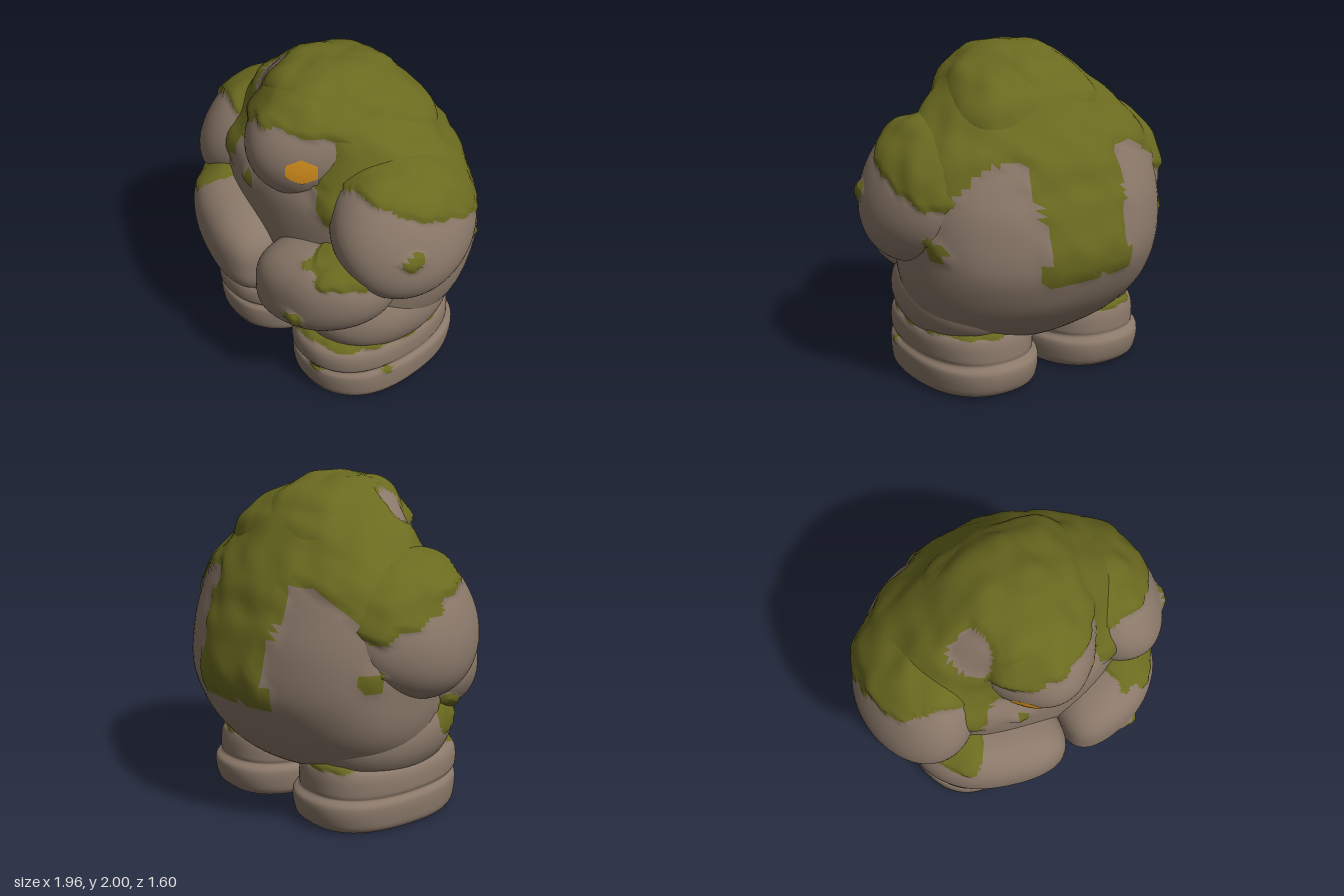
import * as THREE from 'three';
import { mergeVertices } from 'three/addons/utils/BufferGeometryUtils.js';

const { clamp } = THREE.MathUtils;
const { abs, sin, sign, pow, hypot, acos, sqrt, max, min, PI } = Math;

const stone = new THREE.MeshStandardMaterial({ name: 'stone', color: 0x8a7869 });
const moss = new THREE.MeshStandardMaterial({ name: 'moss', color: 0x6b6a20 });
const amber = new THREE.MeshStandardMaterial({ name: 'amber', color: 0xde961f });

// Smooth lumpy noise, roughly -1 to 1
const lumps = (p, f) =>
  (sin(f * p.x + 1.3 * sin(f * p.y + 2)) + sin(f * 1.1 * p.y + 1.4 * sin(f * 0.9 * p.z)) +
   sin(f * 0.95 * p.z + 1.2 * sin(f * 1.2 * p.x + 4))) / 3;

// Stray tufts of moss and one bald gap: x, y, z, radius
const tufts = [
  [0.95, 1.2, 0.24, 0.06], [0.46, 0.72, 0.74, 0.06], [-0.7, 0.62, 0.3, 0.13],
  [0.73, 0.18, 0.22, 0.05], [0.45, 0.2, 0.54, 0.04], [0.76, 0.96, -0.33, 0.09],
  [-0.76, 0.96, -0.36, 0.07], [-0.18, 1.26, 0.56, 0.05],
];
const bald = [-0.33, 1.8, 0.24, 0.14];
const reach = (p, [x, y, z, r]) => r - hypot(p.x - x, p.y - y, p.z - z);

// A sphere reshaped by a rule; moss grows where the second rule is positive
function blob(name, shape, mossRule, ragged = 0.06, bump = 0.012) {
  let geo = new THREE.SphereGeometry(1, 84, 60);
  geo.deleteAttribute('uv');
  geo.deleteAttribute('normal');
  geo = mergeVertices(geo, 1e-4);
  const pos = geo.attributes.position, p = new THREE.Vector3(), n = new THREE.Vector3();
  for (let i = 0; i < pos.count; i++) {
    p.copy(shape(p.fromBufferAttribute(pos, i)));
    pos.setXYZ(i, p.x, p.y, p.z);
  }
  geo.computeVertexNormals();
  const growth = [];
  for (let i = 0; i < pos.count; i++) {
    p.fromBufferAttribute(pos, i);
    n.fromBufferAttribute(geo.attributes.normal, i);
    let m = mossRule(p) + ragged * (0.8 * lumps(p, 11) + 0.6 * lumps(p, 31));
    for (const t of tufts) m = max(m, reach(p, t) + 0.03 * lumps(p, 30));
    m = min(m, 0.04 * lumps(p, 25) - reach(p, bald));
    growth.push(m);
    const lift = bump * lumps(p, 7) + (m > 0 ? min(m, 0.02) + 0.014 * lumps(p, 21) : 0);
    p.addScaledVector(n, lift);
    pos.setXYZ(i, p.x, max(0, p.y), p.z);
  }
  // Sort the faces into stone and moss
  const bare = [], green = [], idx = geo.index.array;
  for (let i = 0; i < idx.length; i += 3) {
    const f = [idx[i], idx[i + 1], idx[i + 2]];
    (growth[f[0]] + growth[f[1]] + growth[f[2]] > 0 ? green : bare).push(...f);
  }
  geo.setIndex([...bare, ...green]);
  geo.addGroup(0, bare.length, 0);
  geo.addGroup(bare.length, green.length, 1);
  geo.computeVertexNormals();
  const mesh = new THREE.Mesh(geo, [stone, moss]);
  mesh.name = name;
  return mesh;
}

// Shape rule: stacked rings, each row [y, half width, back z, front z]
function rings(rows, cx, e) {
  const curve = (f) => new THREE.CatmullRomCurve3(rows.map(f), false, 'catmullrom', 0.5);
  const size = curve(([y, w, b, f]) => new THREE.Vector3(w, y, (f - b) / 2));
  const mid = curve(([y, , b, f]) => new THREE.Vector3(0, y, (f + b) / 2));
  return (d) => {
    const t = clamp(acos(clamp(-d.y, -1, 1)) / PI, 0, 1), s = size.getPoint(t), c = mid.getPoint(t);
    const len = hypot(d.x, d.z) || 1, k = (v) => sign(v) * pow(abs(v / len), 2 / e);
    return new THREE.Vector3(cx + s.x * k(d.x), max(0, s.y), c.z + s.z * k(d.z));
  };
}

// Shape rule: ellipsoid, squarer where the power is below 1
const oval = (c, r, power = () => 1) => (d) => {
  const k = (v) => sign(v) * pow(abs(v), power(d));
  return new THREE.Vector3(c[0] + r[0] * k(d.x), c[1] + r[1] * k(d.y), c[2] + r[2] * k(d.z));
};

// Head ellipsoid whose sides sweep back from the middle of the face
const HEAD = { c: [0.04, 1.56, 0.1], r: [0.48, 0.4, 0.55] };
const sweep = (x) => -0.9 * (x - HEAD.c[0]) ** 2;
const faceZ = (x, y) => HEAD.c[2] + sweep(x) + HEAD.r[2] *
  sqrt(max(0, 1 - ((x - HEAD.c[0]) / HEAD.r[0]) ** 2 - ((y - HEAD.c[1]) / HEAD.r[1]) ** 2));

// Eye plate laid on the face
function eye(name, x, y, rx, ry, sides, spin) {
  const geo = new THREE.CircleGeometry(1, sides, spin);
  const pos = geo.attributes.position;
  for (let i = 0; i < pos.count; i++) {
    const px = x + rx * pos.getX(i), py = y + ry * pos.getY(i);
    pos.setXYZ(i, px, py, faceZ(px, py) + 0.008);
  }
  geo.computeVertexNormals();
  const mesh = new THREE.Mesh(geo, amber);
  mesh.name = name;
  return mesh;
}

export function createModel() {
  const model = new THREE.Group();
  model.name = 'mossyStoneCreature';

  // Hunched body, with moss over the crown and down the spine
  const bodyRows = [
    [0.22, 0, 0.05, 0.05], [0.27, 0.4, -0.3, 0.38], [0.36, 0.62, -0.48, 0.47],
    [0.5, 0.75, -0.62, 0.51], [0.65, 0.81, -0.71, 0.52], [0.85, 0.83, -0.77, 0.54],
    [1.1, 0.84, -0.74, 0.56], [1.3, 0.83, -0.66, 0.55], [1.45, 0.76, -0.59, 0.48],
    [1.6, 0.63, -0.49, 0.42], [1.75, 0.46, -0.38, 0.42], [1.87, 0.32, -0.27, 0.41],
    [1.95, 0.17, -0.09, 0.3], [1.975, 0, 0.1, 0.1],
  ];
  model.add(blob('body', rings(bodyRows, 0, 2.1), (p) => {
    const spine = min(0.3 - abs(p.x), p.y - 0.76, -p.z - 0.2);
    const notch = 0.25 * clamp((-p.z - 0.4) / 0.15, 0, 1);
    const bareChest = p.z > 0.2 ? 0.2 * clamp((0.42 - abs(p.x)) / 0.1, 0, 1) : 0;
    return max(spine, p.y - 1.25 - notch - bareChest);
  }));

  // Head with a mossy fringe
  const headOval = oval(HEAD.c, HEAD.r);
  model.add(blob('head', (d) => {
    const q = headOval(d);
    q.z += sweep(q.x);
    return q;
  }, (p) => p.y - (1.77 - 0.85 * (p.x - 0.12) ** 2 - 2 * max(0, 0.3 - p.z)), 0.035, 0));
  model.add(eye('rightEye', -0.165, 1.51, 0.073, 0.072, 7, 0.3));
  model.add(eye('leftEye', 0.288, 1.55, 0.068, 0.085, 6, 0.5));

  for (const s of [-1, 1]) {
    const side = s > 0 ? 'left' : 'right';

    // Upper arm, leaning in toward the neck
    const armOval = oval([s * 0.63, 1.2, 0.05], [0.335, 0.42, 0.47]);
    model.add(blob(side + 'UpperArm', (d) => {
      const q = armOval(d);
      q.x -= s * 0.22 * (q.y - 1.2);
      return q;
    }, (p) => p.y - (1.34 + 0.38 * p.z - 0.6 * max(0, 0.55 - abs(p.x)))));

    // Forearm folded across the belly, ending in a blunt fist that meets the other
    const cx = s > 0 ? 0.43 : -0.36, half = s > 0 ? 0.36 : 0.43;
    const foreOval = oval([cx, 0.82, 0.44], [half, 0.29, 0.33], (d) => 0.81 + 0.14 * s * d.x);
    model.add(blob(side + 'Forearm', (d) => {
      const q = foreOval(d), out = s * (q.x - cx);
      q.y += 0.12 * out;
      q.z -= 0.22 * out;
      return q;
    }, (p) => min(p.y - 1.06 + 0.35 * (abs(p.x) - 0.5), abs(p.x) - 0.4), 0.05));

    // Thigh bulge
    model.add(blob(side + 'Thigh', oval([s * 0.39, 0.53, 0.04], [0.4, 0.32, 0.5]), () => -1));

    // Two-tiered foot with a thin mossy rim
    const footRows = [
      [0, 0, 0.04, 0.04], [0, 0.31, -0.39, 0.49], [0.02, 0.37, -0.47, 0.55],
      [0.09, 0.385, -0.5, 0.57], [0.17, 0.385, -0.5, 0.57], [0.205, 0.36, -0.46, 0.55],
      [0.24, 0.37, -0.46, 0.58], [0.33, 0.365, -0.45, 0.58], [0.375, 0.33, -0.42, 0.54],
      [0.4, 0.24, -0.3, 0.42], [0.4, 0, 0.05, 0.05],
    ];
    model.add(blob(side + 'Foot', rings(footRows, s * 0.38, 2.3), (p) => p.y - 0.365, 0.025, 0.008));
  }
  return model;
}
